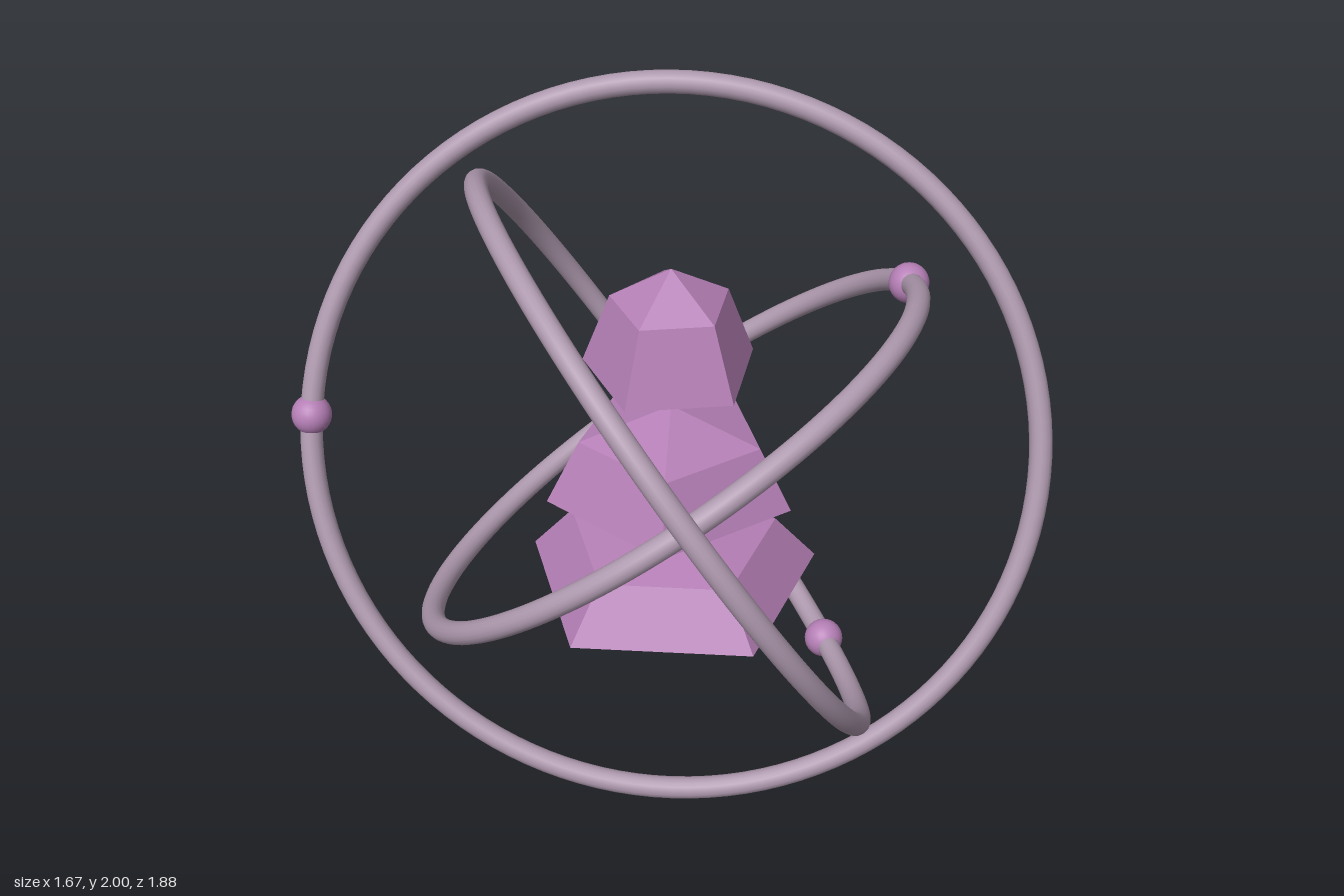
import * as THREE from 'three';

export function createModel() {
  const model = new THREE.Group();
  model.name = 'orbitingCrystals';

  const crystalPurple = new THREE.MeshStandardMaterial({ color: 0xb57fb6 });
  crystalPurple.name = 'crystal purple';
  const ringMauve = new THREE.MeshStandardMaterial({ color: 0xae99ae });
  ringMauve.name = 'ring mauve';

  const add = (parent, geometry, material, name) => {
    const mesh = new THREE.Mesh(geometry, material);
    mesh.name = name;
    parent.add(mesh);
    return mesh;
  };

  // Stack of five-sided cut stones: heights of tip, girdle, shoulder, top; turn in degrees
  const stones = [
    { name: 'lowerStone', y: [0.47, 0.558, 0.708, 0.77], girdle: 0.433, shoulder: 0.31, turn: 41 },
    { name: 'middleStone', y: [0.77, 0.885, 1.068, 1.147], girdle: 0.357, shoulder: 0.263, turn: 4.5 },
    { name: 'upperStone', y: [1.147, 1.267, 1.478, 1.58], girdle: 0.248, shoulder: 0.17, turn: 30.5 },
  ];
  for (const { name, y, girdle, shoulder, turn } of stones) {
    const profile = [0, girdle, shoulder, 0].map((r, i) => new THREE.Vector2(r, y[i]));
    const start = THREE.MathUtils.degToRad(90 - turn);
    const geometry = new THREE.LatheGeometry(profile, 5, start).toNonIndexed();
    geometry.computeVertexNormals(); // flat facets
    add(model, geometry, crystalPurple, name);
  }

  // Three tilted orbit rings, each carrying one bead
  const rings = [
    { name: 'outerOrbit', radius: 1.02, axis: [-0.822, 0.321, 0.469], bead: [-0.5, 0.045, -0.89] },
    { name: 'middleOrbit', radius: 0.915, axis: [0.671, 0.524, 0.524], bead: [0.37, -0.785, 0.3] },
    { name: 'innerOrbit', radius: 0.81, axis: [-0.11, 0.79, -0.61], bead: [0.6, 0.39, 0.39] },
  ];
  const zAxis = new THREE.Vector3(0, 0, 1);
  for (const { name, radius, axis, bead } of rings) {
    const orbit = new THREE.Group();
    orbit.name = name;
    orbit.position.y = 1;
    model.add(orbit);

    const normal = new THREE.Vector3(...axis).normalize();
    const ring = add(orbit, new THREE.TorusGeometry(radius, 0.032, 16, 120), ringMauve, name + 'Ring');
    ring.quaternion.setFromUnitVectors(zAxis, normal);

    const ball = add(orbit, new THREE.SphereGeometry(0.057, 24, 16), crystalPurple, name + 'Bead');
    ball.position.set(...bead).projectOnPlane(normal).setLength(radius);
  }

  return model;
}
